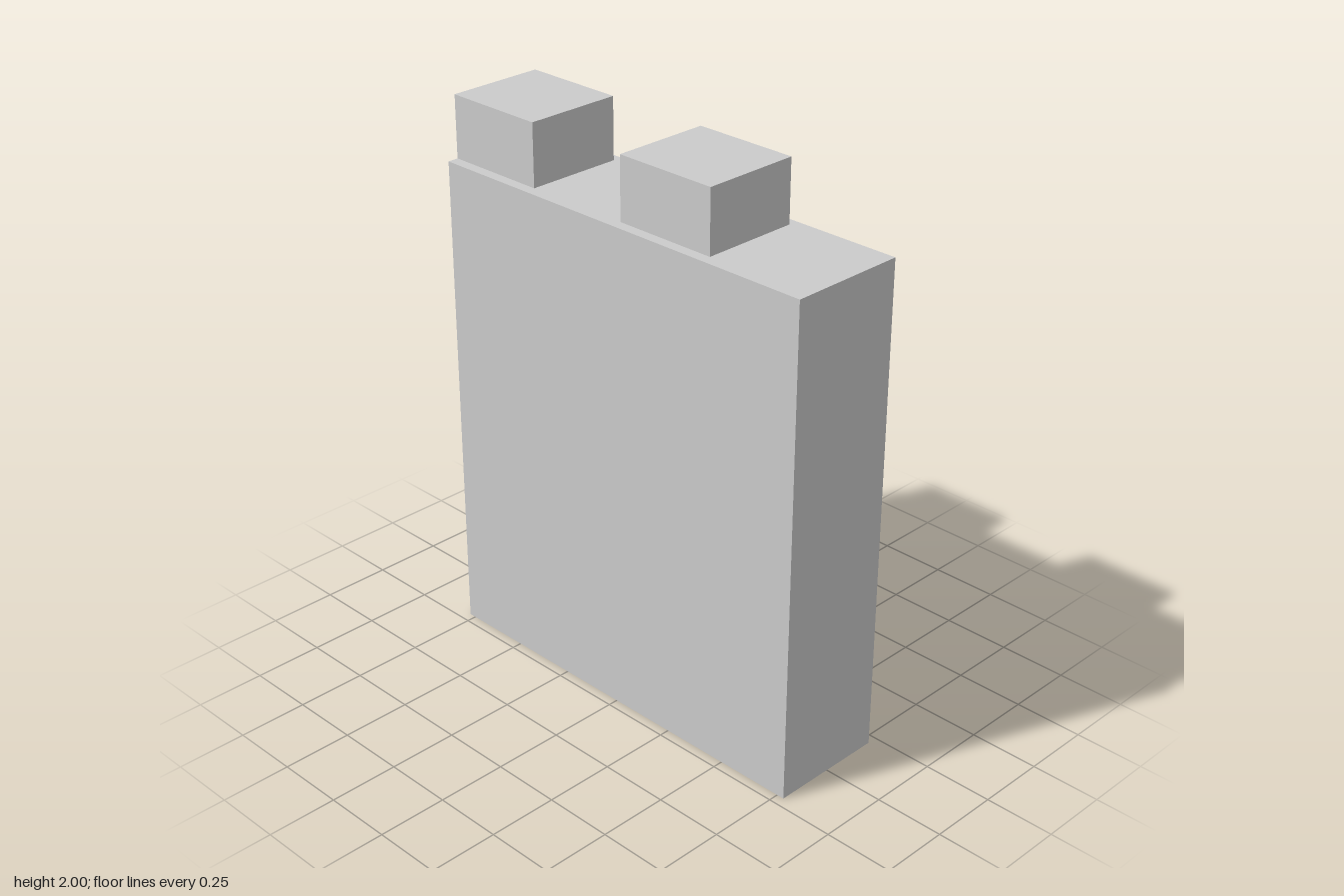
import * as THREE from 'three';

const material = new THREE.MeshStandardMaterial({ color: 0xcccccc, flatShading: true });

// Box given by its lower and upper limits on each axis
function block(name, [x0, x1], [y0, y1], [z0, z1]) {
  const mesh = new THREE.Mesh(new THREE.BoxGeometry(x1 - x0, y1 - y0, z1 - z0), material);
  mesh.position.set((x0 + x1) / 2, (y0 + y1) / 2, (z0 + z1) / 2);
  mesh.name = name;
  return mesh;
}

export function createModel() {
  const model = new THREE.Group();
  model.name = 'battlementWall';
  const wallTop = 1.777;

  // Wall slab
  model.add(block('wall', [-0.777, 0.777], [0, wallTop], [-0.214, 0.214]));

  // Merlons: the first is flush with the wall's right end
  const merlons = [['rightMerlon', -0.777, -0.398], ['middleMerlon', 0, 0.383]];
  for (const [name, x0, x1] of merlons) {
    model.add(block(name, [x0, x1], [wallTop, 2], [-0.18, 0.175]));
  }
  return model;
}
